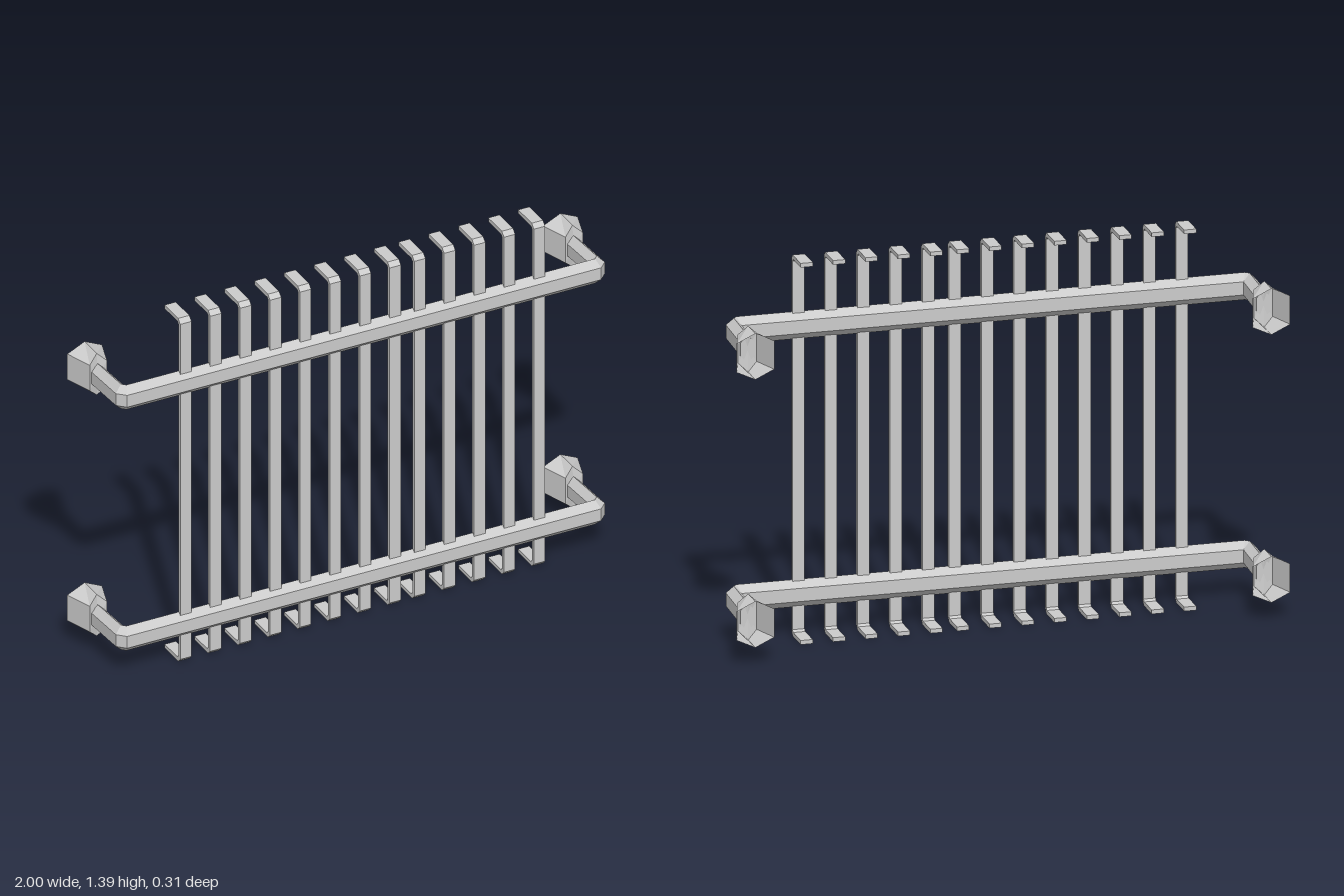
import * as THREE from 'three';

const metal = new THREE.MeshStandardMaterial({
  color: 0xcccccc, flatShading: true, side: THREE.DoubleSide,
});

// Skin a list of rings (counter-clockwise about the direction of travel)
function loft(rings, capStart, capEnd) {
  const pos = [];
  const tri = (a, b, c) => pos.push(...a, ...b, ...c);
  const n = rings[0].length;
  for (let i = 0; i < rings.length - 1; i++) {
    for (let j = 0; j < n; j++) {
      const k = (j + 1) % n, a = rings[i], b = rings[i + 1];
      tri(a[j], a[k], b[k]);
      tri(a[j], b[k], b[j]);
    }
  }
  const fan = (ring, flip) => {
    const c = [0, 1, 2].map(m => ring.reduce((s, p) => s + p[m], 0) / n);
    for (let j = 0; j < n; j++) {
      const k = (j + 1) % n;
      flip ? tri(c, ring[k], ring[j]) : tri(c, ring[j], ring[k]);
    }
  };
  if (capStart) fan(rings[0], true);
  if (capEnd) fan(rings[rings.length - 1], false);
  const g = new THREE.BufferGeometry();
  g.setAttribute('position', new THREE.Float32BufferAttribute(pos, 3));
  g.computeVertexNormals();
  return g;
}

// Upright hexagon with points at top and bottom: [sideways, up]
const hexagon = (w, h, side) => [[0, h], [-w, side], [-w, -side], [0, -h], [w, -side], [w, side]];

const X = 0.932, Z = 0.13; // arm and rail centre lines

// Rail with both arms bent back towards the wall
function railGeometry() {
  const section = hexagon(0.026, 0.05, 0.024);
  const c = 0.014, t = Math.tan(Math.PI / 8);
  // x, y, z of the centre line, then outward mitre direction in x and z
  const half = [
    [X, -0.01, -0.058, 1, 0],
    [X, 0, Z - c, 1, t],
    [X - c, 0, Z, t, 1],
  ];
  const mirrored = half.map(([x, y, z, mx, mz]) => [-x, y, z, -mx, mz]).reverse();
  const rings = [...half, ...mirrored].map(([x, y, z, mx, mz]) =>
    section.map(([s, u]) => [x + mx * s, y + u, z + mz * s]));
  return loft(rings, true, true);
}

// Hollow wall flange, narrowing towards the arm, open at the wall
function flangeGeometry() {
  const back = hexagon(0.068, 0.084, 0.052).map(([x, y]) => [x, y, -0.157]);
  const front = hexagon(0.034, 0.084, 0.052).map(([x, y]) => [x, y, x === 0 ? -0.066 : -0.053]);
  return loft([back, front], false, true);
}

// Flat bar with both ends hooked backwards
function barGeometry() {
  const H = 1.39, t = 0.015, f = 0.14, b = 0.022, c = 0.016, ci = 0.008;
  const s = new THREE.Shape([
    [b, 0], [f - c, 0], [f, c], [f, H - c], [f - c, H], [b, H],
    [b, H - t], [f - t - ci, H - t], [f - t, H - t - ci],
    [f - t, t + ci], [f - t - ci, t], [b, t],
  ].map(p => new THREE.Vector2(...p)));
  const g = new THREE.ExtrudeGeometry(s, { depth: 0.044, bevelEnabled: false });
  return g.translate(0, 0, -0.022).rotateY(-Math.PI / 2);
}

export function createModel() {
  const model = new THREE.Group();
  model.name = 'barredRailRack';
  const add = (name, geometry, x, y) => {
    const mesh = new THREE.Mesh(geometry, metal);
    mesh.name = name;
    mesh.position.set(x, y, 0);
    model.add(mesh);
  };

  // Upper and lower rails with their wall flanges
  const rail = railGeometry(), flange = flangeGeometry();
  for (const [level, y] of [['upper', 1.131], ['lower', 0.154]]) {
    add(level + 'Rail', rail, 0, y);
    add(level + 'LeftFlange', flange, X, y - 0.007);
    add(level + 'RightFlange', flange, -X, y - 0.007);
  }

  // Thirteen bars, with a narrower gap after the eighth
  const bar = barGeometry();
  for (let i = 0; i < 13; i++) {
    add('verticalBar' + (i + 1), bar, -0.69 + i * 0.1172 - (i > 7 ? 0.021 : 0), 0);
  }
  return model;
}
